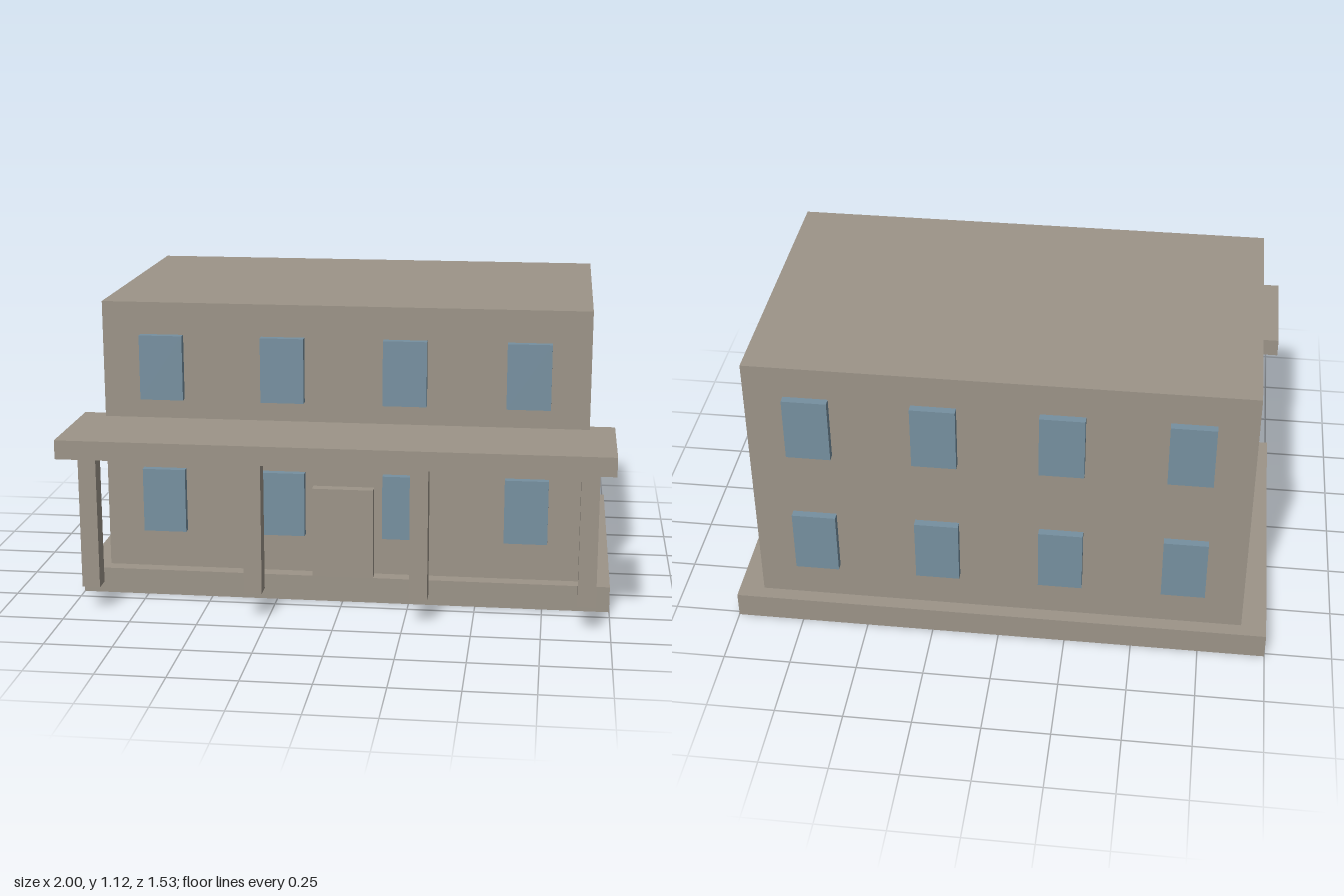
import * as THREE from 'three';

export function createModel() {
  const house = new THREE.Group();
  house.name = 'house';

  const stone = new THREE.MeshStandardMaterial({ color: 0x9c9488 });
  stone.name = 'warm grey stone';
  const glass = new THREE.MeshStandardMaterial({ color: 0x7690a0 });
  glass.name = 'blue grey glass';

  // Box given by its lower and upper limits on each axis
  function block(name, material, [x0, x1], [y0, y1], [z0, z1]) {
    const mesh = new THREE.Mesh(new THREE.BoxGeometry(x1 - x0, y1 - y0, z1 - z0), material);
    mesh.position.set((x0 + x1) / 2, (y0 + y1) / 2, (z0 + z1) / 2);
    mesh.name = name;
    house.add(mesh);
  }

  const floorY = 0.098;
  const porchY = 0.615;
  const frontZ = 0.39;
  const backZ = -0.712;

  // Main masses
  block('foundation', stone, [-1, 1], [0, floorY], [-0.765, 0.443]);
  block('walls', stone, [-0.907, 0.907], [floorY, 1.125], [backZ, frontZ]);
  block('porchRoof', stone, [-1, 1], [porchY, 0.685], [0.34, 0.765]);
  block('frontDoor', stone, [-0.115, 0.115], [floorY, 0.441], [0.402, 0.443]);

  // Porch columns
  for (const x of [-0.912, -0.304, 0.304, 0.912]) {
    block('porchColumn', stone, [x - 0.033, x + 0.033], [floorY, porchY], [0.599, 0.665]);
  }

  // Two rows of windows, front and back
  for (const x of [-0.683, -0.228, 0.228, 0.683]) {
    for (const y of [0.246, 0.76]) {
      const across = [x - 0.081, x + 0.081];
      const up = [y, y + 0.244];
      block('frontWindow', glass, across, up, [frontZ, frontZ + 0.03]);
      block('backWindow', glass, across, up, [backZ - 0.03, backZ]);
    }
  }

  return house;
}
